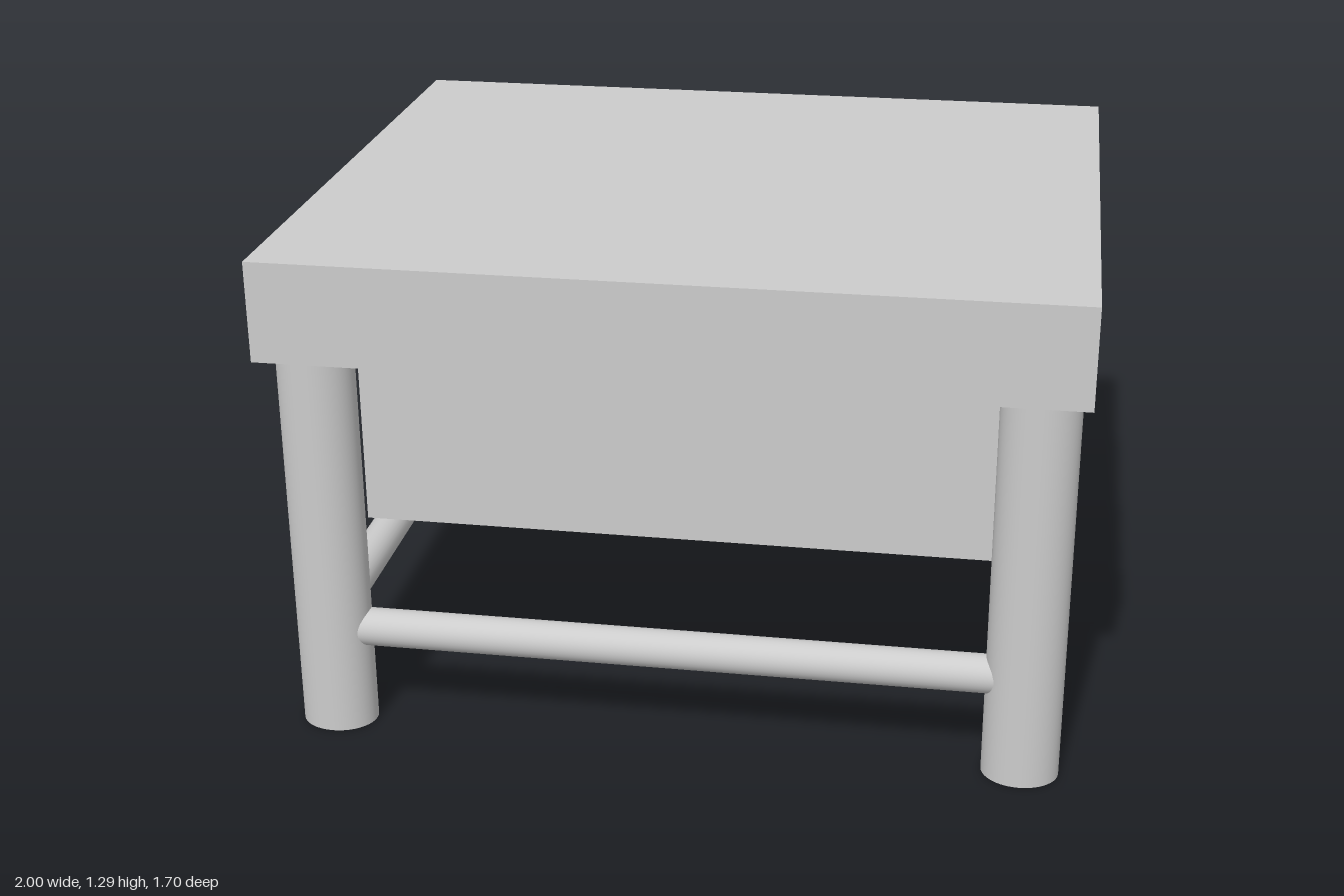
import * as THREE from 'three';

export function createModel() {
  const model = new THREE.Group();
  model.name = 'table';
  const grey = new THREE.MeshStandardMaterial({ color: 0xcccccc, side: THREE.DoubleSide });
  grey.name = 'plain grey';

  const add = (name, geometry, x, y, z) => {
    const mesh = new THREE.Mesh(geometry, grey);
    mesh.name = name;
    mesh.position.set(x, y, z);
    model.add(mesh);
    return mesh;
  };

  // Thick slab top and the storage box hanging beneath it
  add('tableTop', new THREE.BoxGeometry(2, 0.255, 1.7), 0, 1.1625, 0);
  add('storageBox', new THREE.BoxGeometry(1.59, 0.485, 1.34), 0, 0.7925, 0);

  // Hollow oval legs, open at the ends
  const legGeometry = new THREE.CylinderGeometry(1, 1, 1.035, 40, 1, true);
  legGeometry.scale(0.097, 1, 0.083);
  for (const x of [-0.882, 0.882]) {
    for (const z of [-0.725, 0.73]) {
      add(`${z > 0 ? 'front' : 'back'}${x > 0 ? 'Left' : 'Right'}Leg`, legGeometry, x, 0.5175, z);
    }
  }

  // Round stretchers ending inside the legs
  const rod = (length) => new THREE.CylinderGeometry(0.049, 0.049, length, 32, 1, true);
  const longRod = rod(1.68).rotateZ(Math.PI / 2);
  const sideRod = rod(1.4).rotateX(Math.PI / 2);
  for (const s of [-1, 1]) {
    add(s > 0 ? 'frontStretcher' : 'backStretcher', longRod, 0, 0.271, s * 0.733);
    add(s > 0 ? 'leftStretcher' : 'rightStretcher', sideRod, s * 0.905, 0.271, 0);
  }
  return model;
}
